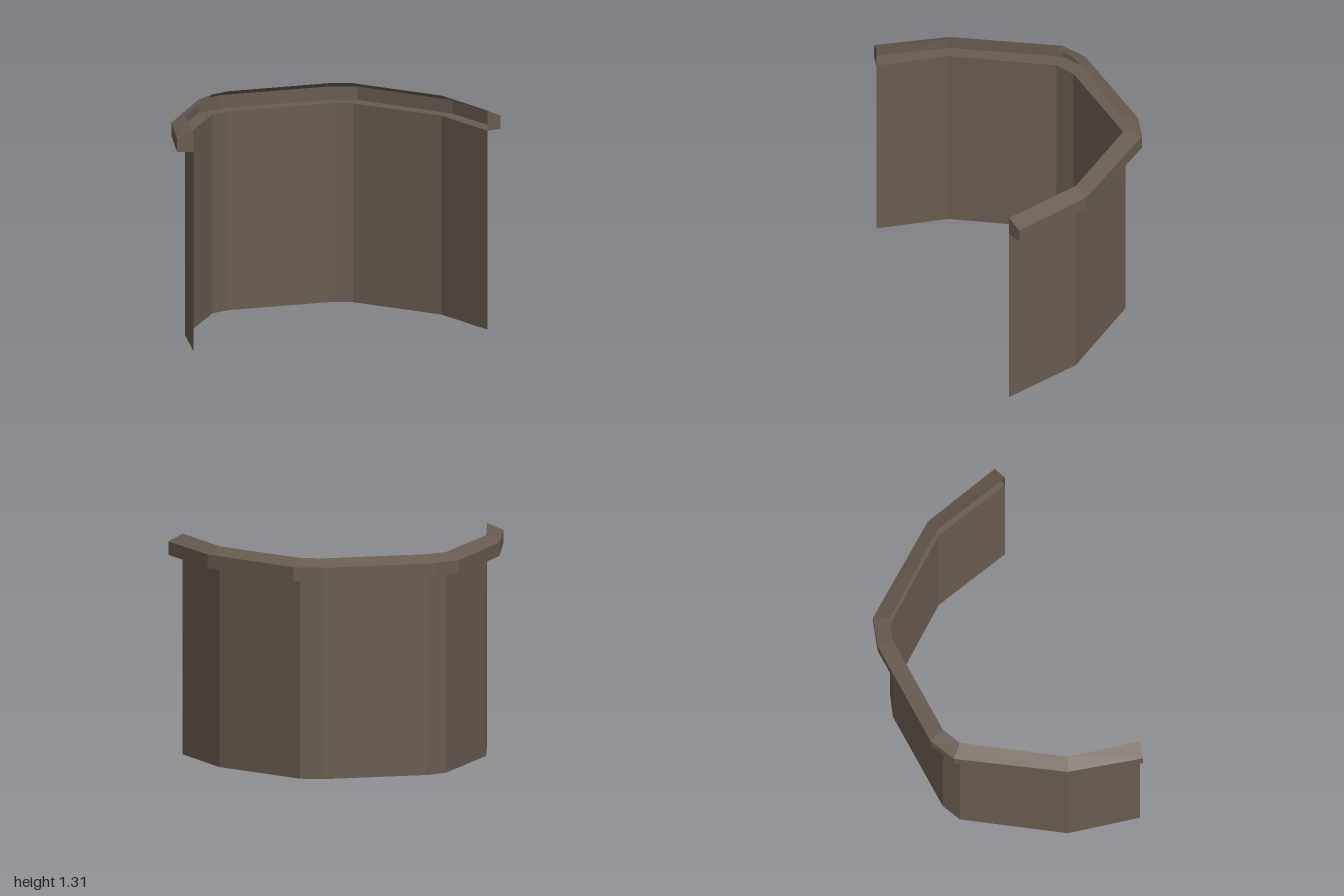
import * as THREE from 'three';

// Plan outlines [x, z], running from the -x end round the back to the +x end
const INNER = [[-0.91, 0.51], [-0.8, 0.09], [-0.43, -0.43], [-0.31, -0.48],
  [0.32, -0.48], [0.45, -0.43], [0.81, 0.08], [0.91, 0.57]];
const OUTER = [[-1, 0.48], [-0.87, 0.05], [-0.49, -0.5], [-0.33, -0.57],
  [0.34, -0.57], [0.51, -0.51], [0.89, 0.05], [1, 0.55]];

// Sweeps a profile of [outline, height] pairs along the plan, optionally closing both ends
function sweep(profile, capped) {
  const pos = [];
  const point = (i, j) => {
    const [outline, y] = profile[j];
    return [outline[i][0], y, outline[i][1]];
  };
  const tri = (a, b, c) => pos.push(...a, ...b, ...c);
  const last = INNER.length - 1;
  for (let i = 0; i < last; i++) {
    for (let j = 0; j < profile.length - 1; j++) {
      const a = point(i, j), b = point(i + 1, j), c = point(i + 1, j + 1), d = point(i, j + 1);
      tri(a, d, c);
      tri(a, c, b);
    }
  }
  if (capped) {
    for (let j = 1; j < profile.length - 1; j++) {
      tri(point(0, 0), point(0, j + 1), point(0, j));
      tri(point(last, 0), point(last, j), point(last, j + 1));
    }
  }
  const geometry = new THREE.BufferGeometry();
  geometry.setAttribute('position', new THREE.Float32BufferAttribute(pos, 3));
  geometry.computeVertexNormals();
  return geometry;
}

export function createModel() {
  const group = new THREE.Group();
  group.name = 'curvedWall';
  const stone = new THREE.MeshStandardMaterial({
    name: 'brownStone', color: 0x685c50, flatShading: true, side: THREE.DoubleSide,
  });

  // Thin faceted wall
  const wall = new THREE.Mesh(sweep([[INNER, 0], [INNER, 1.19]], false), stone);
  wall.name = 'wall';

  // Overhanging coping with a sloped top, open on the inside
  const coping = new THREE.Mesh(
    sweep([[INNER, 1.19], [OUTER, 1.19], [OUTER, 1.27], [INNER, 1.31]], true), stone);
  coping.name = 'coping';

  group.add(wall, coping);
  return group;
}
